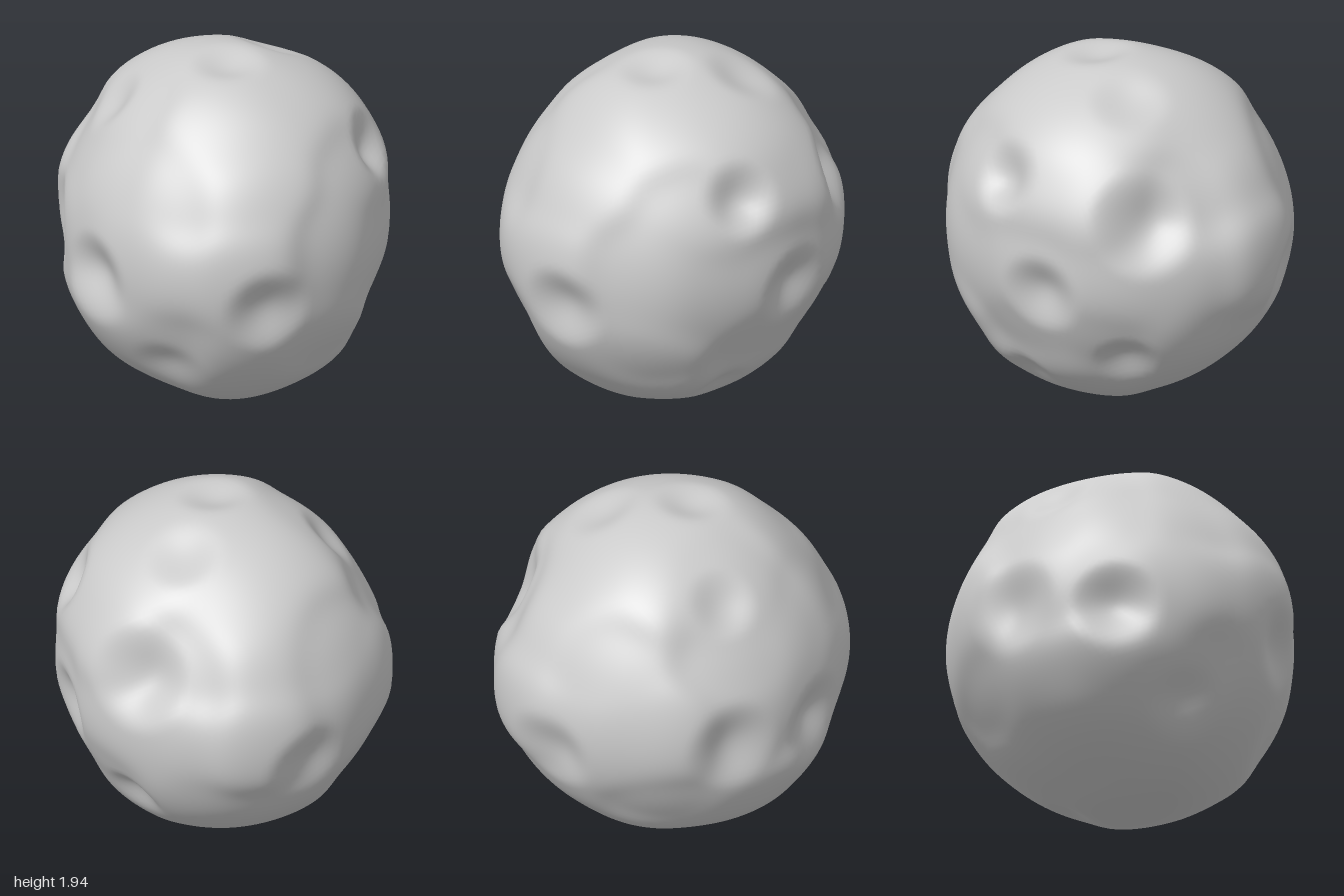
import * as THREE from 'three';
import { mergeVertices } from 'three/addons/utils/BufferGeometryUtils.js';

const HALF_HEIGHT = 0.975;

// Cross-sections through the centre: the heading and tilt of the plane's
// normal in degrees, and the body's radius at every 30 degrees around it
const SECTIONS = [
  { heading: 0, tilt: 0, radii: [0.87, 0.945, 0.96, 0.98, 0.955, 0.88, 0.88, 0.94, 0.945, 0.975, 0.97, 0.87] },
  { heading: 90, tilt: 0, radii: [1.01, 0.97, 0.975, 0.97, 0.995, 0.97, 1.01, 1, 1.015, 0.975, 0.945, 0.95] },
  { heading: 0, tilt: 90, radii: [0.91, 0.915, 0.965, 1.01, 0.955, 0.955, 0.91, 0.88, 0.99, 0.99, 0.93, 0.88] },
  { heading: 45, tilt: 28, radii: [0.92, 0.885, 0.905, 0.98, 0.91, 0.895, 0.925, 0.935, 1.01, 0.985, 0.925, 0.89] },
  { heading: 225, tilt: 28, radii: [0.9, 0.92, 0.935, 0.97, 0.965, 0.965, 0.92, 0.945, 0.935, 0.95, 0.99, 0.965] },
  { heading: 135, tilt: -28, radii: [0.93, 0.93, 0.98, 0.955, 0.98, 0.93, 0.93, 0.95, 0.98, 0.965, 0.92, 0.91] },
];

// Craters: position relative to the body centre, radius (radians), depth
const CRATERS = [
  { at: [0.12, -0.16, 0.92], radius: 0.27, depth: 0.09 },   // front
  { at: [0.87, -0.12, -0.07], radius: 0.28, depth: 0.09 },  // +x side
  { at: [0.65, 0.34, -0.62], radius: 0.34, depth: 0.11 },   // +x back
  { at: [0.74, 0.45, 0.22], radius: 0.24, depth: 0.09 },    // +x upper front
  { at: [0, 0.95, 0.13], radius: 0.23, depth: 0.05 },       // top
  { at: [0.27, 0.85, -0.25], radius: 0.25, depth: 0.04 },   // top back
  { at: [-0.77, -0.13, 0.46], radius: 0.3, depth: 0.08 },   // -x front
  { at: [-0.62, 0.71, -0.03], radius: 0.23, depth: 0.05 },  // -x upper
  { at: [-0.9, -0.04, -0.14], radius: 0.32, depth: 0.07 },  // -x side
  { at: [-0.25, -0.16, -0.9], radius: 0.28, depth: 0.07 },  // back
  { at: [0.6, -0.53, -0.46], radius: 0.22, depth: 0.05 },   // +x lower back
  { at: [0.55, -0.74, 0.18], radius: 0.2, depth: 0.04 },    // +x underside
  { at: [0, -0.9, -0.34], radius: 0.17, depth: 0.03 },      // underside
  { at: [-0.38, -0.64, 0.66], radius: 0.25, depth: 0.03 },  // front lower
].map(({ at, radius, depth }) => ({ dir: new THREE.Vector3(...at).normalize(), radius, depth }));

// Section points as directions with the body's radius there
const SAMPLES = SECTIONS.flatMap(({ heading, tilt, radii }) => {
  const h = THREE.MathUtils.degToRad(heading);
  const e = THREE.MathUtils.degToRad(tilt);
  const normal = new THREE.Vector3(Math.sin(h) * Math.cos(e), Math.sin(e), Math.cos(h) * Math.cos(e));
  const start = new THREE.Vector3(Math.cos(h), 0, -Math.sin(h));
  return radii.map((radius, i) => ({
    radius,
    dir: start.clone().applyAxisAngle(normal, (i / radii.length) * Math.PI * 2),
  }));
});

// Blend the sections into a smooth lumpy body, then press in the craters
function surfaceRadius(dir) {
  let sum = 0, total = 0;
  for (const s of SAMPLES) {
    const t2 = dir.angleTo(s.dir) ** 2;
    const w = Math.exp(-t2 / 0.05) + 0.01 * Math.exp(-t2 / 0.2);
    sum += w * s.radius;
    total += w;
  }
  let r = sum / total;
  for (const c of CRATERS) {
    const t = dir.angleTo(c.dir) / c.radius;
    if (t < 1) r -= c.depth * (1 - t * t) ** 2;
  }
  return r;
}

function rockGeometry() {
  let geo = new THREE.IcosahedronGeometry(1, 28);
  geo.deleteAttribute('normal');
  geo.deleteAttribute('uv');
  geo = mergeVertices(geo, 1e-4);
  const pos = geo.attributes.position;
  const dir = new THREE.Vector3();
  for (let i = 0; i < pos.count; i++) {
    dir.fromBufferAttribute(pos, i).normalize();
    dir.multiplyScalar(surfaceRadius(dir));
    pos.setXYZ(i, dir.x, dir.y, dir.z);
  }
  // Stand it on the ground
  geo.center();
  geo.translate(0, HALF_HEIGHT, 0);
  geo.computeVertexNormals();
  return geo;
}

export function createModel() {
  const group = new THREE.Group();
  group.name = 'asteroid';
  const rock = new THREE.Mesh(
    rockGeometry(),
    new THREE.MeshStandardMaterial({ color: 0xcccccc })
  );
  rock.name = 'crateredRock';
  group.add(rock);
  return group;
}
